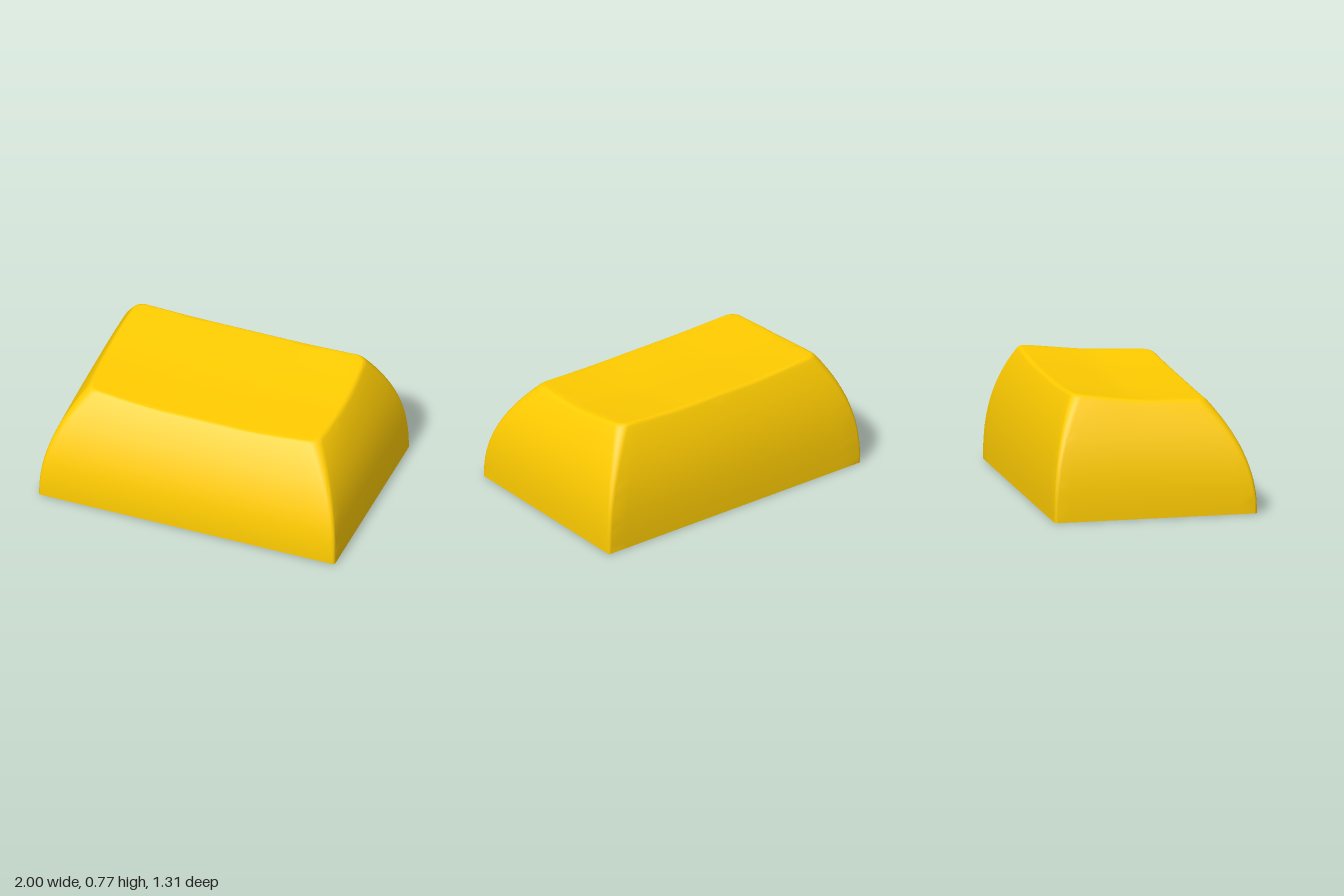
import * as THREE from 'three';
import { toCreasedNormals } from 'three/addons/utils/BufferGeometryUtils.js';

const yellow = new THREE.MeshStandardMaterial({ color: 0xffcc00 });

// Rounded-rectangle ring: corner-centre signs (sx, sz) plus outward direction (nx, nz)
function ringPlan(cornerSteps, edgeSteps) {
  const signs = [[1, 1], [-1, 1], [-1, -1], [1, -1]];
  const plan = [];
  for (let k = 0; k < 4; k++) {
    const [ax, az] = signs[k], [bx, bz] = signs[(k + 1) % 4];
    for (let j = 0; j <= cornerSteps; j++) {
      const a = (k + j / cornerSteps) * Math.PI / 2;
      plan.push({ sx: ax, sz: az, nx: Math.cos(a), nz: Math.sin(a) });
    }
    const end = (k + 1) * Math.PI / 2;
    for (let j = 1; j < edgeSteps; j++) {
      const t = j / edgeSteps;
      plan.push({ sx: ax + (bx - ax) * t, sz: az + (bz - az) * t, nx: Math.cos(end), nz: Math.sin(end) });
    }
  }
  return plan;
}
const plan = ringPlan(8, 16);

function place(p, hx, zBack, zFront, r, y) {
  const mid = (zBack + zFront) / 2, hz = (zFront - zBack) / 2;
  return new THREE.Vector3(p.sx * (hx - r) + p.nx * r, y, mid + p.sz * (hz - r) + p.nz * r);
}

// Skin a stack of closed rings
function loft(rings, crease, inward = false) {
  const n = rings[0].length, index = [];
  for (let k = 0; k < rings.length - 1; k++) {
    for (let i = 0; i < n; i++) {
      const a = k * n + i, b = k * n + (i + 1) % n, c = a + n, d = b + n;
      if (inward) index.push(a, b, c, b, d, c);
      else index.push(a, c, b, b, c, d);
    }
  }
  const geo = new THREE.BufferGeometry().setFromPoints(rings.flat());
  geo.setIndex(index);
  return toCreasedNormals(geo, crease);
}

// Height of the scooped top surface
function dish(x, z) {
  const a = -0.05 - z;
  const along = 0.706 + 0.022 * (0.38 - z) + 0.118 * (a + Math.sqrt(a * a + 0.008)) / 2;
  const rise = Math.max(0, (Math.abs(x) - 0.3) / 0.48);
  return along - 0.026 * (1 - Math.pow(rise, 1.3));
}

// Point on the bulging side walls; t runs from base (0) to rim (1)
function wallPoint(p, t) {
  const top = place(p, 0.78, -0.49, 0.385, 0.07, 0);
  const y = t * dish(top.x, top.z);
  const bow = 0.022 * (1 - p.sz * p.sz) * t;
  const hx = 1 - 0.222 * Math.pow(t, 2.4) + bow * t;
  const zFront = 0.655 - 0.275 * Math.pow(y / 0.7, 2.2);
  const zBack = -0.655 + 0.165 * Math.pow(y / 0.765, 2.5);
  return place(p, hx, zBack, zFront, 0.02 + 0.05 * t * t, y);
}

function topPoint(p, s) {
  const v = wallPoint(p, 1), mid = -0.055;
  v.x *= s;
  v.z = mid + (v.z - mid) * s;
  v.y = dish(v.x, v.z);
  return v;
}

function outerShell() {
  const rings = [], start = 0.972, lip = 0.975;
  for (let k = 0; k <= 16; k++) rings.push(plan.map(p => wallPoint(p, start * k / 16)));
  // soft edge between the walls and the top
  for (let k = 1; k <= 5; k++) {
    rings.push(plan.map(p => new THREE.QuadraticBezierCurve3(
      wallPoint(p, start), wallPoint(p, 1), topPoint(p, lip)).getPoint(k / 5)));
  }
  for (const s of [0.92, 0.84, 0.74, 0.62, 0.5, 0.38, 0.26, 0.13, 0]) {
    rings.push(plan.map(p => topPoint(p, s)));
  }
  return loft(rings, 0.9);
}

// Bottom edge, tapered cavity walls and flat ceiling
function cavity() {
  const ceiling = 0.59;
  return loft([
    plan.map(p => wallPoint(p, 0)),
    plan.map(p => place(p, 0.885, -0.54, 0.54, 0, 0)),
    plan.map(p => place(p, 0.735, -0.4, 0.36, 0, ceiling)),
    plan.map(p => place(p, 0, -0.02, -0.02, 0, ceiling)),
  ], 0.5, true);
}

// Hollow lower end of the stem with a cross-shaped socket
function stemSocket(radius, depth) {
  const shape = new THREE.Shape().absarc(0, 0, radius, 0, Math.PI * 2);
  const l = 0.15, w = 0.044;
  const cross = [[l, -w], [l, w], [w, w], [w, l], [-w, l], [-w, w],
    [-l, w], [-l, -w], [-w, -w], [-w, -l], [w, -l], [w, -w]];
  shape.holes.push(new THREE.Path(cross.map(([x, y]) => new THREE.Vector2(x, y))));
  const geo = new THREE.ExtrudeGeometry(shape, { depth, bevelEnabled: false, curveSegments: 24 });
  geo.rotateX(-Math.PI / 2);
  return toCreasedNormals(geo, 0.5);
}

export function createModel() {
  const model = new THREE.Group();
  model.name = 'keycap';
  const add = (name, geo) => {
    const mesh = new THREE.Mesh(geo, yellow);
    mesh.name = name;
    model.add(mesh);
    return mesh;
  };
  const radius = 0.188, depth = 0.25, top = 0.6;
  add('outerShell', outerShell());
  add('innerCavity', cavity());
  add('stemSocket', stemSocket(radius, depth));
  add('stemPost', new THREE.CylinderGeometry(radius, radius, top - depth, 48)).position.y = (top + depth) / 2;
  return model;
}
